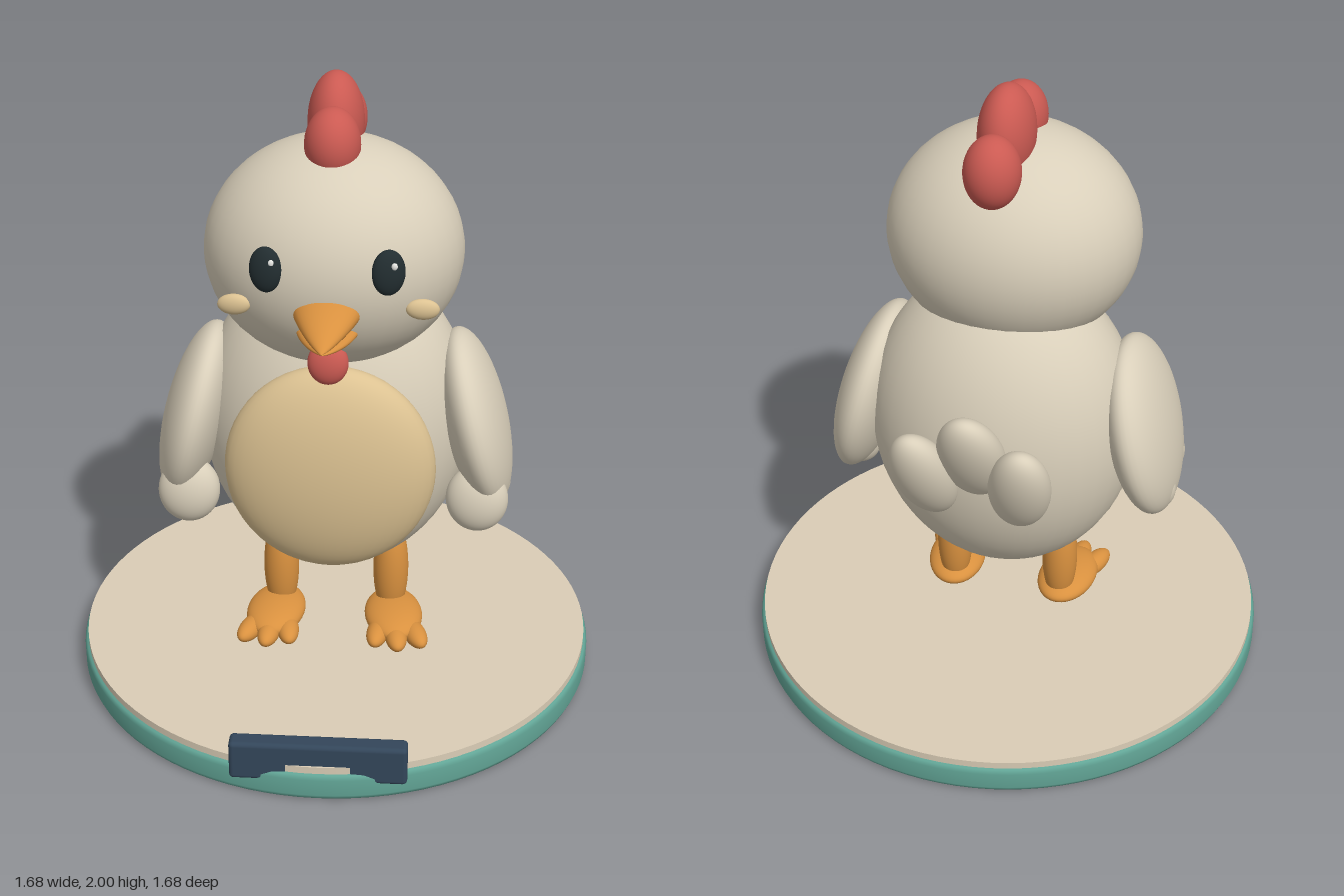
import * as THREE from 'three';
import { RoundedBoxGeometry } from 'three/addons/geometries/RoundedBoxGeometry.js';

const mat = (name, color, side = THREE.FrontSide) => {
  const m = new THREE.MeshStandardMaterial({ color, side });
  m.name = name;
  return m;
};

export function createModel() {
  const cream = mat('cream plumage', 0xd9cfba);
  const tan = mat('tan belly', 0xdcc292);
  const orange = mat('orange beak and legs', 0xd9913f, THREE.DoubleSide);
  const red = mat('red comb', 0xcb5a52);
  const black = mat('dark eye', 0x222d30);
  const white = mat('eye glint', 0xf2f2ee);
  const green = mat('green base', 0x62a596);
  const sand = mat('sand base top', 0xdacdb6);
  const navy = mat('navy plate', 0x33465a);

  const model = new THREE.Group();
  model.name = 'chickOnStand';
  const sphere = new THREE.SphereGeometry(1, 40, 28);

  const add = (name, geometry, material, pos = [0, 0, 0], rot = [0, 0, 0]) => {
    const mesh = new THREE.Mesh(geometry, material);
    mesh.name = name;
    mesh.position.set(...pos);
    mesh.rotation.set(...rot);
    model.add(mesh);
    return mesh;
  };
  // Ellipsoid with given centre, radii and rotation
  const blob = (name, material, pos, radii, rot) => {
    const mesh = add(name, sphere, material, pos, rot);
    mesh.scale.set(...radii);
    return mesh;
  };

  // Stand: rounded disc, inlaid top and front plate
  const lathe = pts => new THREE.LatheGeometry(pts.map(p => new THREE.Vector2(...p)), 96);
  add('base', lathe([[0, 0], [0.82, 0], [0.82, 0], [0.834, 0.006], [0.84, 0.02],
    [0.84, 0.075], [0.834, 0.089], [0.82, 0.095], [0.82, 0.095], [0, 0.095]]), green);
  add('baseTop', new THREE.CylinderGeometry(0.828, 0.828, 0.025, 96), sand, [0, 0.1025, 0]);
  add('frontPlate', new RoundedBoxGeometry(0.536, 0.13, 0.062, 3, 0.014), navy, [0, 0.12, 0.791]);

  // Body and head
  blob('body', cream, [0, 0.87, -0.035], [0.43, 0.53, 0.355]);
  blob('belly', tan, [0, 0.828, 0.27], [0.325, 0.345, 0.12]);
  blob('head', cream, [0, 1.48, 0.075], [0.393, 0.35, 0.355]);

  // Comb and wattle
  blob('combFront', red, [0, 1.83, 0.145], [0.083, 0.11, 0.098]);
  blob('combMiddle', red, [0, 1.85, -0.01], [0.085, 0.15, 0.125]);
  blob('combBack', red, [0, 1.805, -0.175], [0.085, 0.112, 0.092]);
  blob('wattle', red, [0, 1.225, 0.35], [0.061, 0.067, 0.036], [-0.15, 0, 0]);

  // Beak halves: tapered cone drooping towards the tip
  const beakHalf = (name, y, width, height, length, droop) => {
    const pts = [];
    for (let i = 0; i <= 16; i++) {
      const t = i / 16;
      pts.push(new THREE.Vector2(Math.pow(1 - t, 0.85) * (1 + 0.35 * t), t));
    }
    const g = new THREE.LatheGeometry(pts, 32).rotateX(Math.PI / 2);
    const p = g.attributes.position;
    for (let i = 0; i < p.count; i++) {
      const t = p.getZ(i);
      p.setXYZ(i, p.getX(i) * width, p.getY(i) * height + droop * t * t, t * length);
    }
    g.computeVertexNormals();
    add(name, g, orange, [0, y, 0.385]);
  };
  beakHalf('upperBeak', 1.405, 0.102, 0.056, 0.225, -0.03);
  beakHalf('lowerBeak', 1.338, 0.09, 0.03, 0.18, 0.014);

  // Tail: one central and two side feathers
  blob('tailFeather', cream, [0, 0.97, -0.42], [0.105, 0.21, 0.075], [-0.48, 0, 0]);

  for (const s of [1, -1]) {
    const side = s > 0 ? 'left' : 'right';
    blob(side + 'TailFeather', cream, [s * 0.15, 0.885, -0.43], [0.097, 0.2, 0.075], [-0.43, 0, -s * 0.12]);

    // Face
    blob(side + 'Eye', black, [s * 0.176, 1.535, 0.388], [0.05, 0.068, 0.028], [-0.1, s * 0.3, 0]);
    blob(side + 'EyeGlint', white, [s * 0.176 + 0.018, 1.563, 0.41], [0.009, 0.011, 0.006]);
    blob(side + 'Cheek', tan, [s * 0.275, 1.404, 0.345], [0.05, 0.032, 0.02], [0, s * 0.15, -s * 0.1]);

    // Wing with three tip feathers
    blob(side + 'Wing', cream, [s * 0.445, 0.88, 0.005], [0.1, 0.3, 0.257], [0, 0, s * 0.25]);
    [[0.455, 0.675, 0.165, 0.098, 0.108, 0.064],
      [0.487, 0.685, 0.06, 0.075, 0.08, 0.045],
      [0.49, 0.69, -0.06, 0.075, 0.09, 0.055]].forEach(([x, y, z, rx, ry, rz], i) =>
      blob(side + 'WingFeather' + (i + 1), cream, [s * x, y, z], [rx, ry, rz], [-0.12, 0, s * 0.1]));

    // Leg and three-toed foot
    blob(side + 'Leg', orange, [s * 0.182, 0.3, -0.01], [0.058, 0.19, 0.06]);
    blob(side + 'Foot', orange, [s * 0.195, 0.162, 0.06], [0.095, 0.046, 0.145], [0, s * 0.12, 0]);
    for (const k of [-1, 0, 1])
      blob(side + 'Toe', orange, [s * 0.208 + k * 0.06, 0.15, k ? 0.155 : 0.175],
        [0.036, 0.033, 0.078], [0, s * 0.12 + k * 0.25, 0]);
  }
  return model;
}
